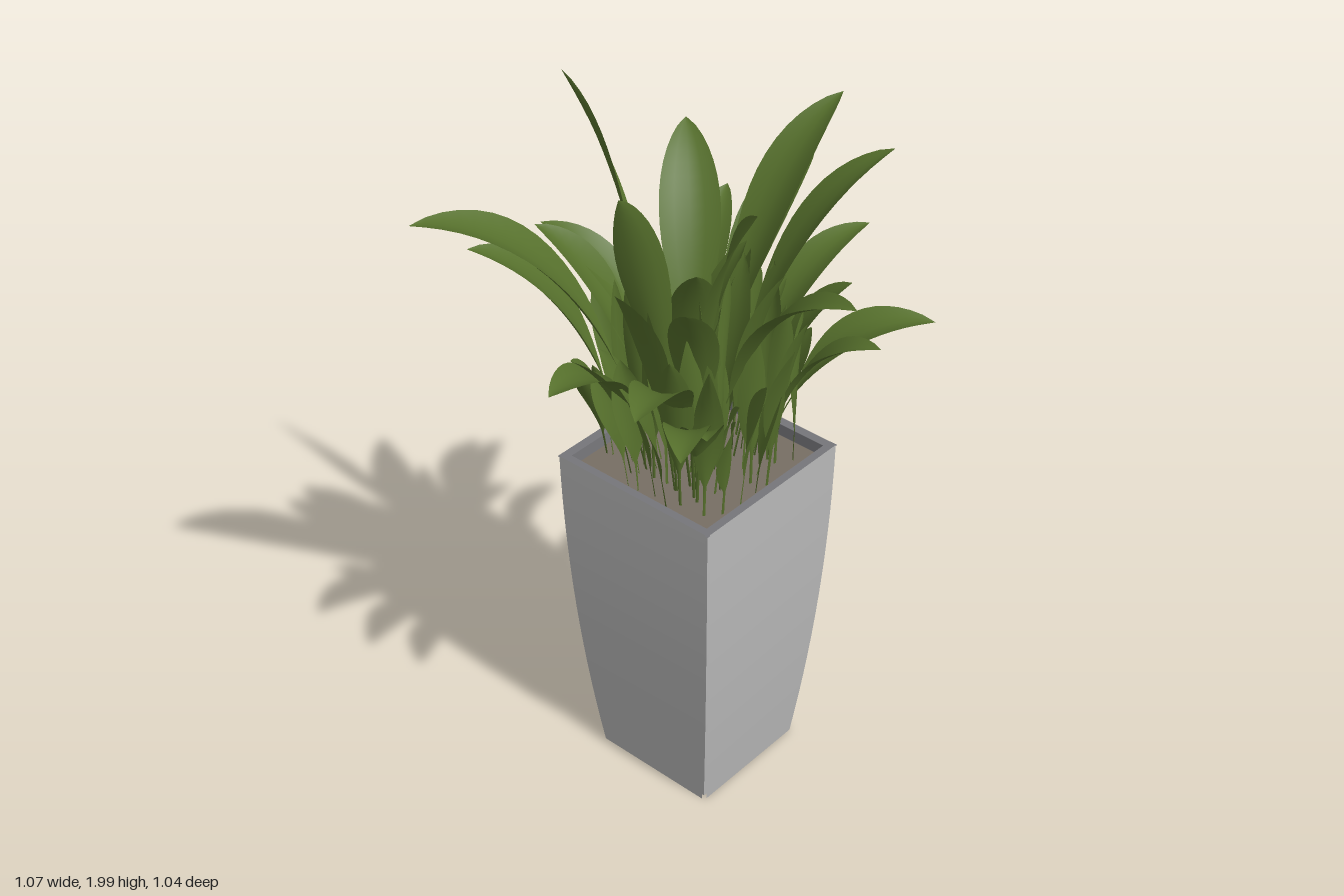
import * as THREE from 'three';
import { toCreasedNormals } from 'three/addons/utils/BufferGeometryUtils.js';

const SOIL = 1.02, TOP = 1.06, BOTTOM = 0.012;

// distance of the planter's side plates from the middle at height y
const halfWidth = (y) => {
  const t = (y - BOTTOM) / (TOP - BOTTOM);
  return 0.198 + 0.07 * (1.85 * t - 0.85 * t * t);
};

function seeded(seed) {
  return () => {
    seed = (seed * 16807) % 2147483647;
    return seed / 2147483647;
  };
}

// one curved side plate, narrower than the planter so a notch stays at each corner
function panelGeometry() {
  const geo = new THREE.PlaneGeometry(2, 1, 1, 14);
  const p = geo.attributes.position;
  for (let i = 0; i < p.count; i++) {
    const y = BOTTOM + (p.getY(i) + 0.5) * (TOP - BOTTOM);
    const w = halfWidth(y);
    p.setXYZ(i, p.getX(i) * (w - 0.009), y, w);
  }
  geo.computeVertexNormals();
  return geo;
}

// four-sided shell through [half width, height] points
function squareLathe(points) {
  const profile = points.map(([r, y]) => new THREE.Vector2(r * Math.SQRT2, y));
  return toCreasedNormals(new THREE.LatheGeometry(profile, 4, Math.PI / 4), 0.5);
}

// leaf: a thin stalk that widens into a cupped blade; the wider it reaches, the more it arches
function leafGeometry(base, tip, width, roll, start) {
  const out = new THREE.Vector3(tip.x - base.x, 0, tip.z - base.z);
  const reach = out.length(), rise = tip.y - base.y;
  out.normalize();
  const k = 0.5 + 0.7 * Math.min(reach / rise, 0.9);
  const bend = new THREE.Vector3().lerpVectors(base, tip, 0.3);
  bend.y = base.y + rise * k;
  const path = new THREE.QuadraticBezierCurve3(base, bend, tip);
  const flat = new THREE.Vector3(0, 1, 0).cross(out);
  const rows = 20, cols = 4, pos = [], index = [];
  for (let i = 0; i <= rows; i++) {
    const t = i / rows;
    const c = path.getPoint(t), tangent = path.getTangent(t);
    const side = flat.clone().applyAxisAngle(tangent, roll * t);
    const up = tangent.clone().cross(side);
    const u = Math.max(0, (t - start) / (1 - start));
    const w = Math.max(i === rows ? 0.0005 : 0.004,
      width / 2 * Math.pow(Math.max(0, Math.sin(Math.PI * Math.pow(u, 1.05))), 0.8));
    for (let j = 0; j <= cols; j++) {
      const s = j / cols * 2 - 1;
      const v = c.clone().addScaledVector(side, s * w).addScaledVector(up, 0.3 * w * s * s);
      pos.push(v.x, v.y, v.z);
      if (i < rows && j < cols) {
        const a = i * (cols + 1) + j, b = a + cols + 1;
        index.push(a, a + 1, b, a + 1, b + 1, b);
      }
    }
  }
  const geo = new THREE.BufferGeometry();
  geo.setAttribute('position', new THREE.Float32BufferAttribute(pos, 3));
  geo.setIndex(index);
  geo.computeVertexNormals();
  return geo;
}

// tall and back leaves: tip x, y, z, width, root x, root z, roll
const TALL_LEAVES = [
  [-0.54, 1.81, -0.47, 0.17, -0.1, -0.06, 0], [-0.4, 1.7, -0.42, 0.15, -0.12, -0.13, 0],
  [-0.11, 1.64, -0.45, 0.13, -0.02, -0.04, 0], [0.06, 1.99, -0.52, 0.08, 0.04, -0.14, 1.4],
  [0.25, 1.87, -0.26, 0.16, -0.06, 0.04, 0], [0.25, 1.6, -0.27, 0.07, 0.08, -0.2, 1.0],
  [0.42, 1.6, -0.26, 0.11, 0.12, -0.14, 0], [0.53, 1.73, -0.05, 0.14, 0.06, -0.03, 0],
  [0.46, 1.98, 0.09, 0.15, 0.0, 0.02, 0], [0.35, 1.95, 0.34, 0.14, 0.0, 0.06, 0],
  [-0.35, 2.0, 0.06, 0.12, -0.08, -0.02, 1.1], [-0.18, 1.99, 0.34, 0.1, -0.05, 0.02, 1.2],
  [-0.2, 1.7, -0.38, 0.14, -0.06, -0.08, 0],
];
// lower, arching leaves in the same form
const LOW_LEAVES = [
  [0.45, 1.43, 0.43, 0.15, 0.13, 0.12, 0], [0.48, 1.62, 0.18, 0.12, 0.08, 0.06, 0],
  [0.13, 1.53, 0.49, 0.11, 0.06, 0.16, 0], [-0.02, 1.73, 0.52, 0.14, -0.04, 0.06, 0],
  [-0.31, 1.4, 0.3, 0.11, -0.14, 0.12, 0], [-0.44, 1.42, 0.33, 0.12, -0.13, 0.1, 0],
  [-0.49, 1.52, 0.23, 0.14, -0.1, 0.06, 0], [-0.49, 1.46, -0.06, 0.14, -0.12, -0.08, 0],
  [0.45, 1.46, 0.02, 0.11, 0.16, 0.0, 0], [0.28, 1.45, 0.17, 0.11, 0.12, 0.1, 0],
  [-0.34, 1.72, 0.03, 0.12, -0.14, 0.04, 0], [0.24, 1.6, 0.31, 0.13, 0.08, 0.12, 0],
  [-0.33, 1.45, -0.14, 0.1, -0.16, -0.1, 0], [-0.25, 1.68, 0.18, 0.13, -0.06, 0.06, 0],
  [0.03, 1.7, 0.26, 0.12, 0.0, 0.1, 0], [-0.12, 1.7, 0.1, 0.13, 0.02, -0.04, 0],
  [-0.12, 1.66, -0.14, 0.12, 0.03, 0.04, 0], [0.12, 1.68, 0.06, 0.12, -0.04, -0.02, 0],
];

export function createModel() {
  const model = new THREE.Group();
  const material = (name, color, side = THREE.FrontSide) => {
    const mat = new THREE.MeshStandardMaterial({ color, side });
    mat.name = name;
    return mat;
  };
  const grey = material('planter grey', 0xb9b9b9);
  const dark = material('liner grey', 0x76767a);
  const earth = material('soil brown', 0x776e64);
  const green = material('leaf green', 0x56702c, THREE.DoubleSide);

  const add = (name, geo, mat, parent) => {
    const mesh = new THREE.Mesh(geo, mat);
    mesh.name = name;
    parent.add(mesh);
    return mesh;
  };

  // planter: inner core, rim liner and four side plates
  const planter = new THREE.Group();
  planter.name = 'planter';
  model.add(planter);
  const wall = [[0, 0.016]];
  for (let i = 0; i <= 12; i++) {
    const y = 0.016 + (1.055 - 0.016) * i / 12;
    wall.push([halfWidth(y) - 0.011, y]);
  }
  add('core', squareLathe(wall), grey, planter);
  add('rimLiner', squareLathe([[0.267, 1.055], [0.24, 1.055], [0.238, SOIL - 0.01]]), dark, planter);
  const panel = panelGeometry();
  for (let i = 0; i < 4; i++) {
    add('sidePanel', panel, grey, planter).rotation.y = i * Math.PI / 2;
  }
  const soil = add('soil', new THREE.PlaneGeometry(0.478, 0.478), earth, planter);
  soil.rotation.x = -Math.PI / 2;
  soil.position.y = SOIL;

  // plant
  const plant = new THREE.Group();
  plant.name = 'plant';
  model.add(plant);
  for (const [x, y, z, w, rx, rz, roll] of [...TALL_LEAVES, ...LOW_LEAVES]) {
    const root = new THREE.Vector3(rx, SOIL, rz);
    add('largeLeaf', leafGeometry(root, new THREE.Vector3(x, y, z), w, roll, 0.25), green, plant);
  }

  // smaller leaves filling the middle and the rim
  const rand = seeded(4217);
  const jitter = (a) => (rand() * 2 - 1) * a;
  const rootAt = (v) => THREE.MathUtils.clamp(v * 0.75 + jitter(0.05), -0.21, 0.21);
  for (let i = 0; i < 56; i++) {
    const a = i * 2.4, r = 0.05 + 0.27 * Math.sqrt((i + 0.5) / 56);
    const x = r * Math.cos(a), z = r * Math.sin(a);
    const tip = new THREE.Vector3(x, 1.74 - r * 1.1 + jitter(0.14), z);
    const root = new THREE.Vector3(rootAt(x), SOIL, rootAt(z));
    add('smallLeaf', leafGeometry(root, tip, 0.065 + 0.035 * rand(), jitter(1.5), 0.18), green, plant);
  }
  return model;
}
